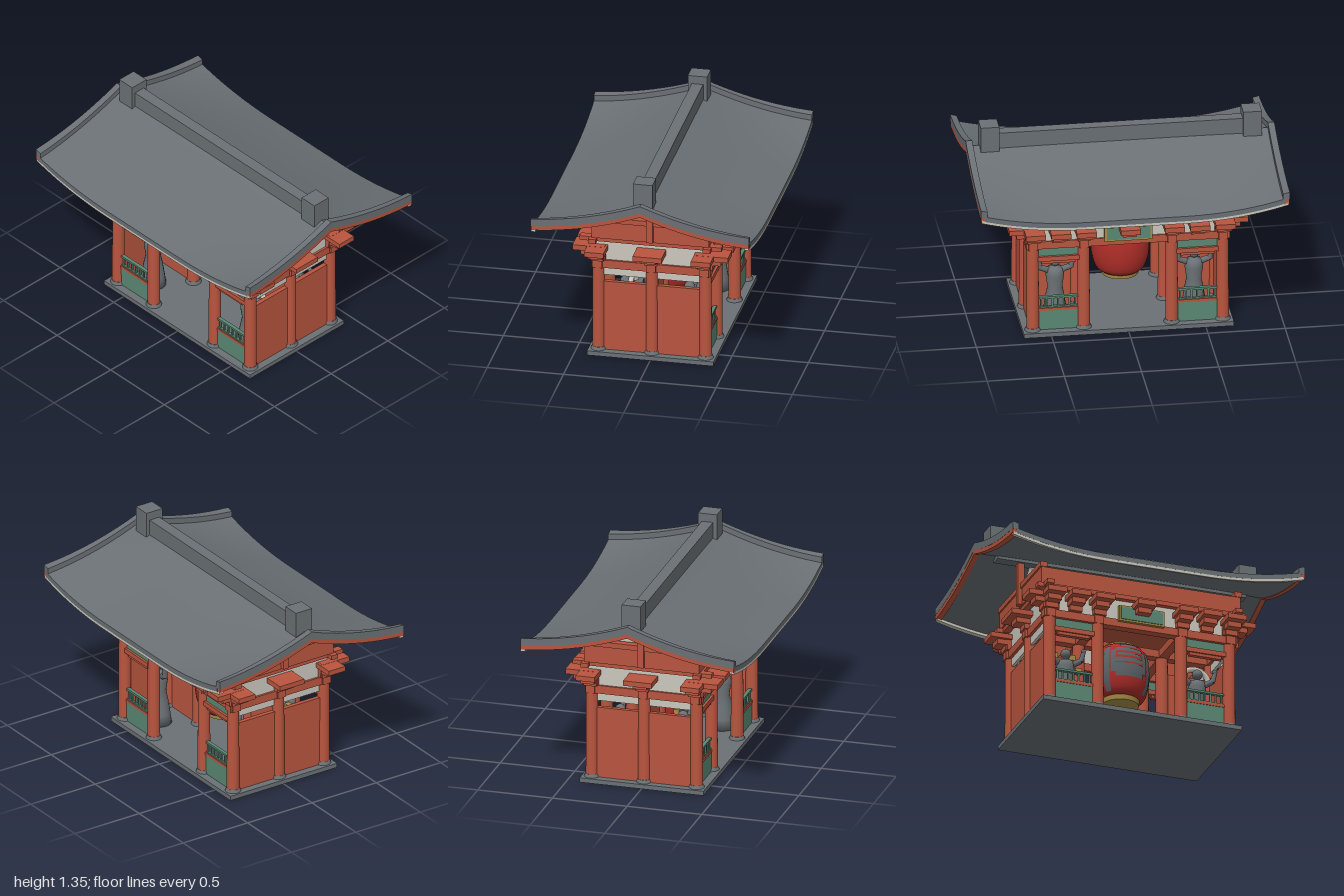
import * as THREE from 'three';

const mat = (name, color) => Object.assign(new THREE.MeshStandardMaterial({ color }), { name });

export function createModel() {
  const red = mat('vermilion', 0xb9553f);
  const grey = mat('slate grey', 0x6a7074);
  const white = mat('plaster', 0xcbc7be);
  const green = mat('green', 0x5a8873);
  const gold = mat('gold', 0xa88d45);
  const crimson = mat('lantern red', 0xb02e28);
  const strap = mat('lantern grey', 0x5f6569);
  strap.side = THREE.DoubleSide;

  const model = new THREE.Group();
  const add = (name, geo, material, x = 0, y = 0, z = 0, parent = model) => {
    const m = new THREE.Mesh(geo, material);
    m.name = name;
    m.position.set(x, y, z);
    parent.add(m);
    return m;
  };
  // box given by its extents on each axis
  const box = (name, material, x0, x1, y0, y1, z0, z1, parent = model) =>
    add(name, new THREE.BoxGeometry(Math.abs(x1 - x0), y1 - y0, Math.abs(z1 - z0)), material,
      (x0 + x1) / 2, (y0 + y1) / 2, (z0 + z1) / 2, parent);
  const rod = (name, material, a, b, r0, r1, parent) => {
    const p = new THREE.Vector3(...a), q = new THREE.Vector3(...b), d = q.clone().sub(p);
    const m = add(name, new THREE.CylinderGeometry(r1, r0, d.length(), 12), material, 0, 0, 0, parent);
    m.position.copy(p).add(q).multiplyScalar(0.5);
    m.quaternion.setFromUnitVectors(new THREE.Vector3(0, 1, 0), d.normalize());
  };

  // ---- floor, columns and tie beams
  box('floor', grey, -0.68, 0.68, 0, 0.03, -0.415, 0.415);
  for (const x of [-0.615, -0.285, 0.285, 0.615]) {
    for (const z of [-0.35, 0, 0.35]) {
      add('column', new THREE.CylinderGeometry(0.039, 0.041, 0.6, 20), red, x, 0.34, z);
      add('columnBase', new THREE.CylinderGeometry(0.043, 0.052, 0.022, 20), grey, x, 0.04, z);
    }
    box('crossTieBeam', red, x - 0.03, x + 0.03, 0.61, 0.665, -0.39, 0.39);
  }
  for (const z of [-0.35, 0, 0.35])
    box('longTieBeam', red, -0.66, 0.66, 0.612, 0.664, z - 0.03, z + 0.03);

  // ---- plaster band, ceiling, upper beams and gable ends
  box('ceiling', red, -0.62, 0.62, 0.785, 0.8, -0.36, 0.36);
  for (const s of [-1, 1]) {
    box('plasterBand', white, -0.63, 0.63, 0.66, 0.8, s * 0.345, s * 0.37);
    box('plasterBand', white, s * 0.605, s * 0.63, 0.66, 0.8, -0.345, 0.345);
    box('longPurlin', red, -0.71, 0.71, 0.803, 0.833, s * 0.35, s * 0.4);
    box('crossPurlin', red, s * 0.62, s * 0.67, 0.806, 0.834, -0.465, 0.465);
    box('gableBeam', red, s * 0.64, s * 0.69, 0.95, 0.985, -0.39, 0.39);
    box('gablePost', red, s * 0.66, s * 0.705, 0.84, 1.13, -0.021, 0.021);
  }
  box('upperFrame', red, -0.68, 0.68, 0.833, 0.95, -0.385, 0.385);
  const tri = new THREE.Shape([[-0.38, 0.84], [0.38, 0.84], [0, 1.12]].map(p => new THREE.Vector2(...p)));
  const gable = add('gableWall', new THREE.ExtrudeGeometry(tri, { depth: 1.24, bevelEnabled: false }), white, -0.62);
  gable.rotation.y = Math.PI / 2;

  // ---- stepped brackets: [half width, reach, bottom, top]
  const tiers = [[0.042, 0.055, 0.665, 0.7], [0.046, 0.11, 0.7, 0.735], [0.064, 0.16, 0.735, 0.77]];
  for (const s of [-1, 1]) {
    for (const x of [-0.615, -0.45, -0.285, 0, 0.285, 0.45, 0.615])
      for (const [w, reach, y0, y1] of tiers)
        box('frontBracket', red, x - w, x + w, y0, y1, s * 0.3, s * (0.35 + reach));
    for (const z of [-0.35, 0, 0.35])
      for (const [w, reach, y0, y1] of tiers) {
        const k = w === 0.064 && z === 0 ? 0.095 : w;
        box('sideBracket', red, s * 0.56, s * (0.615 + reach), y0, y1 - 0.001, z - k, z + k);
      }
    // signboard
    box('signFrame', gold, -0.155, 0.155, 0.648, 0.756, s * 0.375, s * 0.402);
    box('signPanel', green, -0.142, 0.142, 0.66, 0.744, s * 0.4, s * 0.407);
  }

  // ---- side walls and enclosed bays
  for (const sx of [-1, 1]) {
    box('sideWall', red, sx * 0.6, sx * 0.63, 0.03, 0.51, -0.33, 0.33);
    box('sidePlaster', white, sx * 0.605, sx * 0.625, 0.555, 0.61, -0.33, 0.33);
    box('bayPartition', red, sx * 0.285, sx * 0.615, 0.03, 0.51, -0.012, 0.012);
    for (const sz of [-1, 1]) {
      const bay = (name, m, y0, y1, h) =>
        box(name, m, sx * 0.315, sx * 0.585, y0, y1, sz * 0.35 - h, sz * 0.35 + h);
      bay('bayPanel', green, 0.03, 0.165, 0.012);
      bay('baySill', red, 0.165, 0.183, 0.016);
      bay('lowerRail', green, 0.183, 0.192, 0.009);
      bay('handRail', green, 0.248, 0.262, 0.012);
      bay('lintel', red, 0.52, 0.552, 0.025);
      bay('transom', green, 0.552, 0.612, 0.008);
      box('lintelSoffit', red, sx * 0.34, sx * 0.56, 0.5, 0.52, sz * 0.335, sz * 0.365);
      for (let i = 0; i < 7; i++)
        add('baluster', new THREE.BoxGeometry(0.011, 0.065, 0.011), green, sx * (0.34 + i * 0.0367), 0.22, sz * 0.35);

      // guardian statue
      const g = new THREE.Group();
      g.name = 'guardianStatue';
      g.position.set(sx * 0.45, 0, sz * 0.2);
      if (sz < 0) g.rotation.y = Math.PI;
      model.add(g);
      const body = [[0, 0.03], [0.085, 0.03], [0.075, 0.1], [0.062, 0.19], [0.048, 0.26], [0.06, 0.34], [0.05, 0.39], [0, 0.41]];
      add('body', new THREE.LatheGeometry(body.map(p => new THREE.Vector2(...p)), 20), grey, 0, 0, 0, g);
      add('head', new THREE.SphereGeometry(0.034, 16, 12), grey, 0, 0.442, 0.01, g);
      for (const a of [-1, 1]) {
        rod('upperArm', grey, [a * 0.045, 0.375, 0], [a * 0.1, 0.405, 0.02], 0.021, 0.018, g);
        rod('forearm', grey, [a * 0.1, 0.4, 0.02], [a * 0.115, 0.465, 0.03], 0.018, 0.014, g);
        add('hand', new THREE.SphereGeometry(0.017, 10, 8), grey, a * 0.113, 0.468, 0.03, g);
      }
      if (sz > 0 && sx > 0) {
        const bag = add('windBag', new THREE.TorusGeometry(0.085, 0.018, 10, 24, Math.PI), white, 0, 0.415, -0.04, g);
        bag.scale.x = 1.1;
      } else if (sz > 0) {
        for (const [x, y] of [[-0.105, 0.36], [-0.06, 0.445], [0.06, 0.445], [0.105, 0.36]])
          box('drum', gold, x - 0.022, x + 0.022, y - 0.018, y + 0.018, -0.065, -0.03, g);
      }
    }
  }

  // ---- hanging lantern with raised straps on its front
  const radius = y => 0.125 + 0.064 * Math.sqrt(Math.max(0, 1 - ((y - 0.445) / 0.18) ** 2));
  const skin = (y0, y1, grow, n) => Array.from({ length: n + 1 }, (_, i) => {
    const y = y0 + (y1 - y0) * i / n;
    return new THREE.Vector2(radius(y) + grow, y);
  });
  add('lantern', new THREE.LatheGeometry([new THREE.Vector2(0, 0.268), ...skin(0.268, 0.618, 0, 20), new THREE.Vector2(0, 0.618)], 40), crimson);
  add('lanternFoot', new THREE.CylinderGeometry(0.125, 0.12, 0.035, 32), gold, 0, 0.253);
  add('lanternCap', new THREE.CylinderGeometry(0.11, 0.125, 0.03, 32), gold, 0, 0.628);
  const straps = [[0.37, 0.46, -0.5, 0.5], [0.47, 0.5, -0.56, 0.56], [0.515, 0.535, -0.45, 0.45], [0.55, 0.575, -0.52, 0.52],
    [0.585, 0.605, -0.35, 0.35], [0.28, 0.59, 0.72, 0.95], [0.28, 0.59, -0.95, -0.72], [0.4, 0.56, 0.5, 0.68], [0.4, 0.56, -0.68, -0.5]];
  for (const [y0, y1, a, b] of straps)
    add('lanternStrap', new THREE.LatheGeometry(skin(y0, y1, 0.006, 6), 12, a, b - a), strap);

  // ---- roof: boxes bent so the slopes sag and the eave corners lift
  const depth = 0.715;
  const underside = (x, z) => {
    const t = Math.abs(z) / depth;
    const w = Math.pow(Math.max(0, Math.abs(x) - 0.3) / 0.7, 2.2);
    const middle = 1.165 - 0.255 * (1.25 * t - 0.25 * t * t);
    const end = 1.155 - 0.155 * (1.75 * t - 0.75 * t * t);
    return middle + (end - middle) * w;
  };
  const roofPart = (name, material, x0, x1, z0, z1, lo, hi) => {
    const nx = Math.max(1, Math.round(Math.abs(x1 - x0) * 20));
    const nz = Math.max(1, Math.round(Math.abs(z1 - z0) * 16));
    const geo = new THREE.BoxGeometry(Math.abs(x1 - x0), 1, Math.abs(z1 - z0), nx, 1, nz);
    geo.translate((x0 + x1) / 2, 0, (z0 + z1) / 2);
    const p = geo.attributes.position;
    for (let i = 0; i < p.count; i++)
      p.setY(i, underside(p.getX(i), p.getZ(i)) + (p.getY(i) > 0 ? hi : lo));
    geo.computeVertexNormals();
    add(name, geo, material);
  };
  for (const sz of [-1, 1]) {
    roofPart('roofSlope', grey, -0.97, 0.97, 0, sz * depth, 0.004, 0.038);
    roofPart('eaveTrim', white, -0.995, 0.995, sz * 0.685, sz * (depth - 0.001), -0.014, 0.006);
    for (const sx of [-1, 1]) {
      roofPart('vergeTile', grey, sx * 0.957, sx, 0, sz * depth, 0.026, 0.076);
      roofPart('bargeBoard', red, sx * 0.965, sx * 0.999, 0, sz * (depth - 0.001), -0.002, 0.026);
    }
  }

  // ---- ridge
  box('ridge', grey, -0.85, 0.85, 1.13, 1.29, -0.038, 0.038);
  for (const s of [-1, 1])
    box('ridgeEnd', grey, s * 0.79, s * 0.91, 1.17, 1.345, -0.063, 0.063);

  return model;
}
